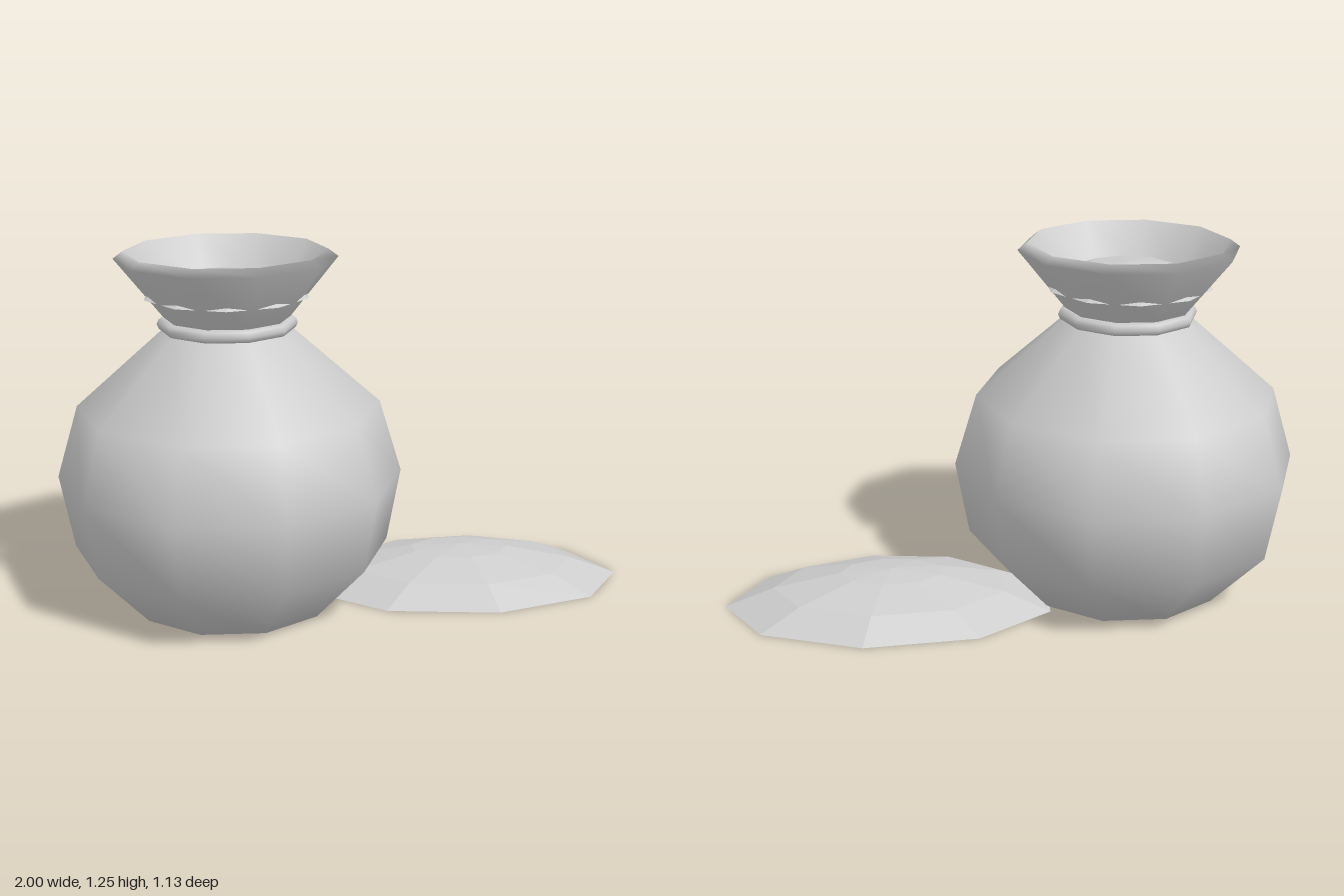
import * as THREE from 'three';

const grey = new THREE.MeshStandardMaterial({ color: 0xcccccc });
grey.name = 'plain grey';

// Lathe from [radius, height] pairs; the first corner lies on the x axis plus a turn
function turned(profile, sides, turn = 0) {
  const points = profile.map(([r, y]) => new THREE.Vector2(r, y));
  return new THREE.LatheGeometry(points, sides, Math.PI / 2 + turn);
}

// Faceted heap: a closed low dome with flat faces
function heap(profile, sides, turn, rx, rz) {
  const geometry = turned(profile, sides, turn).scale(rx, 1, rz).toNonIndexed();
  geometry.computeVertexNormals();
  return geometry;
}

function add(parent, name, geometry) {
  const mesh = new THREE.Mesh(geometry, grey);
  mesh.name = name;
  parent.add(mesh);
  return mesh;
}

export function createModel() {
  const model = new THREE.Group();
  model.name = 'sackWithHeap';

  const sack = new THREE.Group();
  sack.name = 'sack';
  sack.position.x = -0.405;
  model.add(sack);

  // Round body with a closed bottom
  add(sack, 'body', turned([
    [0, 0], [0.355, 0], [0.547, 0.205], [0.595, 0.46],
    [0.52, 0.712], [0.226, 0.972], [0.2, 0.99],
  ], 10));

  // Flared mouth: outer wall, lip and inner wall
  add(sack, 'mouth', turned([
    [0.193, 0.99], [0.213, 1.015], [0.378, 1.22], [0.345, 1.245],
    [0.272, 1.098], [0.2, 1.02],
  ], 10));

  // Tie around the neck
  const tie = new THREE.TorusGeometry(0.216, 0.023, 8, 10).rotateX(Math.PI / 2);
  add(sack, 'neckTie', tie).position.y = 0.995;

  // Contents filling the mouth, corners just poking through the wall
  const contents = heap(
    [[0, 0], [1, 0], [0.8, 0.035], [0.54, 0.063], [0, 0.08]],
    10, Math.PI / 10, 0.287, 0.287);
  add(sack, 'contents', contents).position.y = 1.095;

  // Spilled pile on the ground beside the sack
  const pile = heap(
    [[0, 0], [1, 0], [0.71, 0.065], [0.31, 0.114], [0, 0.127]],
    9, 0, 0.58, 0.355);
  add(model, 'spilledPile', pile).position.set(0.42, 0, -0.13);

  return model;
}
